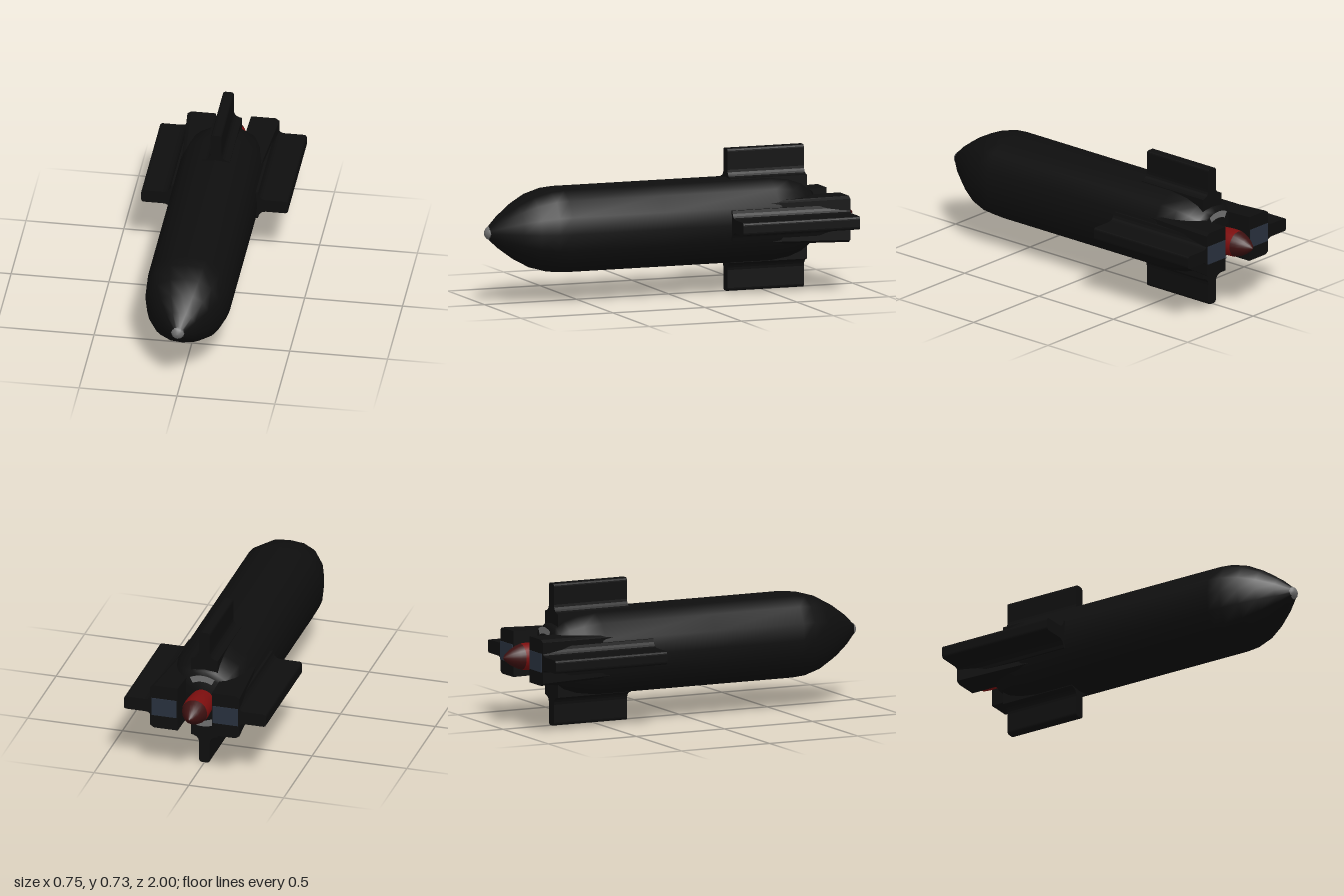
import * as THREE from 'three';
import { mergeVertices } from 'three/addons/utils/BufferGeometryUtils.js';

const AXIS_Y = 0.367;

const mat = (name, color) => {
  const m = new THREE.MeshStandardMaterial({ color });
  m.name = name;
  return m;
};

const v2 = (pts) => pts.map(([x, y]) => new THREE.Vector2(x, y));

// Lathe along z; each point is [radius, z] from tail to nose
function spun(points, segments) {
  return new THREE.LatheGeometry(v2(points), segments).rotateX(Math.PI / 2);
}

// Shape in x/y pushed from z0 to z1
function pushed(shape, z0, z1) {
  return new THREE.ExtrudeGeometry(shape, { depth: z1 - z0, bevelEnabled: false, curveSegments: 5 })
    .translate(0, 0, z0);
}

// Fin section pointing +y: half thickness t, flared root, rounded tip
function finShape(t, inner, root, tip) {
  const f = 0.042, r = 0.016;
  const s = new THREE.Shape();
  s.moveTo(-t - f, inner);
  s.lineTo(t + f, inner);
  s.lineTo(t + f, root);
  s.quadraticCurveTo(t, root + 0.006, t, root + f);
  s.lineTo(t, tip - r);
  s.quadraticCurveTo(t, tip, t - r, tip);
  s.lineTo(-t + r, tip);
  s.quadraticCurveTo(-t, tip, -t, tip - r);
  s.lineTo(-t, root + f);
  s.quadraticCurveTo(-t, root + 0.006, -t - f, root);
  s.closePath();
  return s;
}

export function createModel() {
  const black = mat('hull black', 0x0e0e0e);
  const grey = mat('metal grey', 0x707070);
  const red = mat('engine red', 0x7c0e0e);
  const darkRed = mat('dark red', 0x3c1010);
  const blue = mat('slate blue', 0x28303d);

  const group = new THREE.Group();
  const body = new THREE.Group();
  body.name = 'craft';
  body.position.y = AXIS_Y;
  group.add(body);
  const add = (name, geometry, material) => {
    const m = new THREE.Mesh(geometry, material);
    m.name = name;
    body.add(m);
    return m;
  };

  // Hull: sixteen sides, slightly squared at the diagonals
  let hull = spun([
    [0, -0.76], [0.13, -0.76], [0.152, -0.735], [0.18, -0.69], [0.204, -0.62], [0.218, -0.52],
    [0.218, 0.1], [0.218, 0.6], [0.212, 0.67], [0.186, 0.76], [0.143, 0.84],
    [0.085, 0.92], [0.028, 0.982], [0, 0.992],
  ], 16);
  const p = hull.attributes.position;
  for (let i = 0; i < p.count; i++) {
    const a = Math.atan2(p.getY(i), p.getX(i));
    const k = 1 + 0.07 * Math.sin(2 * a) ** 2;
    p.setXY(i, p.getX(i) * k, p.getY(i) * k);
  }
  hull.deleteAttribute('uv');
  hull.deleteAttribute('normal');
  hull = mergeVertices(hull, 1e-4);
  hull.computeVertexNormals();
  add('hull', hull, black);

  // Nose tip
  add('noseTip', spun([[0.034, 0.976], [0.028, 0.988], [0.015, 0.997], [0, 1]], 12), grey);

  // Upper and lower fins
  for (const side of [0, 1]) {
    const fin = add(side ? 'lowerFin' : 'upperFin',
      pushed(finShape(0.028, 0.14, 0.214, 0.364), -0.725, -0.31), black);
    fin.rotation.z = side * Math.PI;
  }

  // Side fins, engine pods and exhaust plates
  const podShape = new THREE.Shape(v2([
    [0.09, -0.118], [0.215, -0.118], [0.235, -0.105], [0.235, 0.105], [0.215, 0.118], [0.09, 0.118],
  ]));
  for (const s of [1, -1]) {
    const label = s > 0 ? 'left' : 'right';
    const fin = add(label + 'Fin', pushed(finShape(0.034, 0.15, 0.222, 0.375), -0.893, -0.26), black);
    fin.rotation.z = -s * Math.PI / 2;

    const pod = pushed(podShape, -0.895, -0.3);
    const q = pod.attributes.position;
    for (let i = 0; i < q.count; i++) {
      if (q.getZ(i) > -0.5) q.setXY(i, q.getX(i) * 0.8, q.getY(i) * 0.9);
    }
    pod.computeVertexNormals();
    const podMesh = add(label + 'Pod', pod, black);
    podMesh.rotation.z = s > 0 ? 0 : Math.PI;

    const plate = add(label + 'ExhaustPlate', new THREE.BoxGeometry(0.132, 0.095, 0.006), blue);
    plate.position.set(s * 0.162, 0, -0.896);
  }

  // Tail rim arcs above and below the engine
  for (const s of [1, -1]) {
    const arc = new THREE.RingGeometry(0.108, 0.142, 10, 1, s * Math.PI / 2 - 0.48, 0.96);
    const rim = add(s > 0 ? 'upperTailRim' : 'lowerTailRim', arc.rotateY(Math.PI), grey);
    rim.position.z = -0.766;
  }

  // Engine core and its pointed cone
  add('engineCore', spun([[0.067, -0.9], [0.07, -0.86], [0.067, -0.81], [0.06, -0.75]], 20), red);
  add('engineCone', spun([[0, -1], [0.018, -0.986], [0.04, -0.957], [0.057, -0.925], [0.067, -0.895]], 20), darkRed);

  return group;
}
